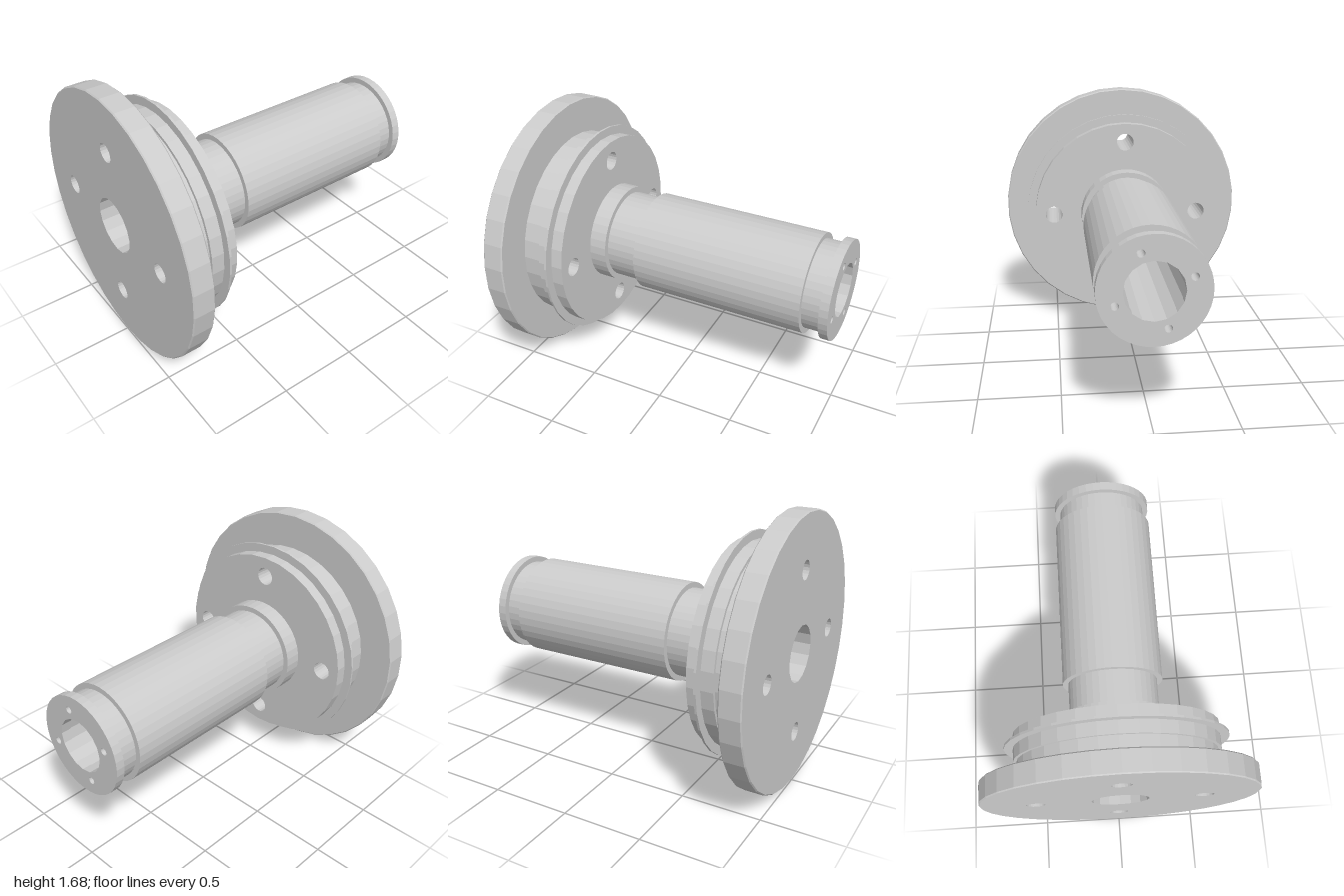
import * as THREE from 'three';

const AXIS_Y = 0.845;
const SIDES = 34, SHAFT_SIDES = 40, BORE_SIDES = 16, HOLE_SIDES = 20;
const BORE = 0.175, LIP = 0.17;

const material = new THREE.MeshStandardMaterial({ color: 0xcccccc, flatShading: true });

export function createModel() {
  const model = new THREE.Group();

  const add = (name, geometry) => {
    const mesh = new THREE.Mesh(geometry, material);
    mesh.name = name;
    model.add(mesh);
    return mesh;
  };

  // Revolve [radius, z] points about the z axis: rising z faces out, falling z faces in
  const turned = (name, profile, sides) =>
    add(name, new THREE.LatheGeometry(profile.map(([r, z]) => new THREE.Vector2(r, z)), sides).rotateX(Math.PI / 2));

  const circle = (r, sides, cx = 0, cy = 0) =>
    Array.from({ length: sides }, (_, i) => {
      const a = (i / sides) * Math.PI * 2 - Math.PI / 2;
      return new THREE.Vector2(cx + r * Math.cos(a), cy + r * Math.sin(a));
    });

  // Four positions on a bolt circle
  const boltCircle = (r, start) =>
    [0, 1, 2, 3].map(i => [r * Math.cos(start + i * Math.PI / 2), r * Math.sin(start + i * Math.PI / 2)]);

  // Flat face with a central opening and four bolt openings
  const drilledFace = (name, outline, opening, bolts, boltRadius, z, back) => {
    const shape = new THREE.Shape(outline);
    shape.holes.push(new THREE.Path(opening));
    for (const [x, y] of bolts)
      shape.holes.push(new THREE.Path(circle(boltRadius, HOLE_SIDES, back ? -x : x, y)));
    const geometry = new THREE.ShapeGeometry(shape);
    if (back) geometry.rotateY(Math.PI);
    add(name, geometry.translate(0, 0, z));
  };

  // Stepped flange rim
  turned('flange', [
    [0.635, 0.58], [0.635, 0.745], [0.615, 0.745], [0.615, 0.865],
    [0.835, 0.865], [0.842, 0.872], [0.842, 0.993], [0.835, 1],
  ], SIDES);

  // Thin retaining ring around the flange step
  turned('retainingRing', [[0.63, 0.653], [0.69, 0.653], [0.69, 0.667], [0.63, 0.667]], SIDES);

  // Shaft with two necks and an end collar
  turned('shaft', [
    [0.315, -1], [0.315, -0.945], [0.28, -0.945], [0.28, -0.83], [0.315, -0.83],
    [0.315, 0.265], [0.28, 0.265], [0.28, 0.47], [0.315, 0.47], [0.315, 0.58],
  ], SHAFT_SIDES);

  // Through bore with a narrow lip at the shaft end
  turned('bore', [[BORE, 1], [BORE, -0.94], [LIP, -0.94], [LIP, -1]], BORE_SIDES);

  // Flange faces and through holes
  const flangeBolts = boltCircle(0.507, 0);
  drilledFace('flangeFront', circle(0.835, SIDES), circle(BORE, BORE_SIDES), flangeBolts, 0.059, 1, false);
  drilledFace('flangeBack', circle(0.635, SIDES), circle(0.315, SHAFT_SIDES), flangeBolts, 0.059, 0.58, true);
  for (const [x, y] of flangeBolts)
    turned('flangeHole', [[0.059, 1], [0.059, 0.58]], HOLE_SIDES).position.set(x, y, 0);

  // Shaft end face and blind holes
  const endBolts = boltCircle(0.225, THREE.MathUtils.degToRad(70.6));
  drilledFace('shaftEnd', circle(0.315, SHAFT_SIDES), circle(LIP, BORE_SIDES), endBolts, 0.023, -1, true);
  for (const [x, y] of endBolts)
    turned('endHole', [[0, -0.88], [0.023, -0.88], [0.023, -1]], HOLE_SIDES).position.set(x, y, 0);

  for (const part of model.children) part.position.y += AXIS_Y;
  return model;
}
